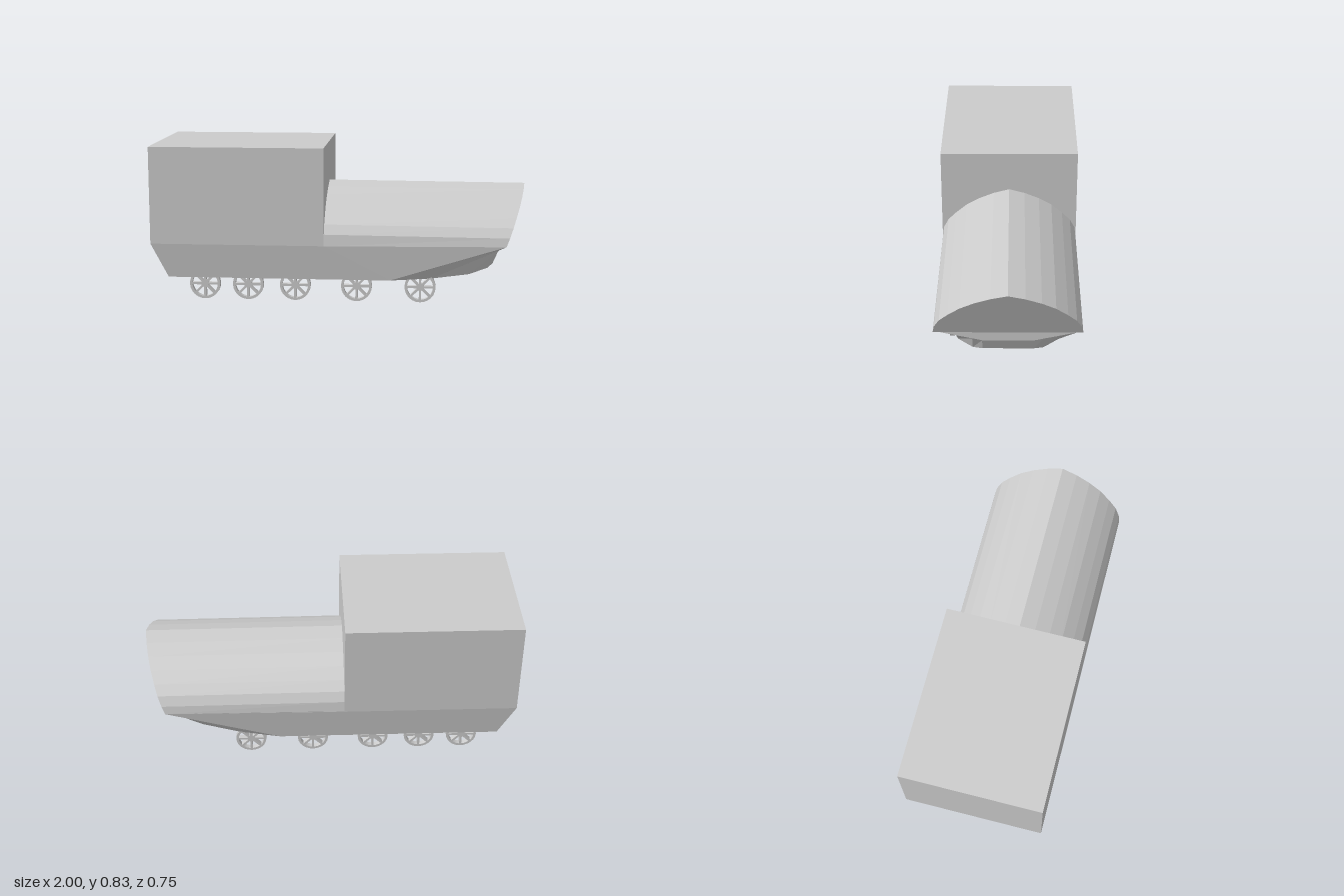
import * as THREE from 'three';

const material = new THREE.MeshStandardMaterial({ color: 0xcccccc, flatShading: true });

// Collects polygons (corners counter-clockwise from outside) into one flat-shaded mesh
function faceBuilder() {
  const pos = [];
  const face = (...p) => {
    for (let i = 1; i < p.length - 1; i++) pos.push(...p[0], ...p[i], ...p[i + 1]);
  };
  const mirror = ([x, y, z]) => [x, y, -z];
  return {
    face,
    // the same face on both sides
    both(...p) {
      face(...p);
      face(...p.map(mirror).reverse());
    },
    // bands running across the body between mirrored pairs of points
    across(path) {
      for (let i = 0; i < path.length - 1; i++) {
        face(path[i], mirror(path[i]), mirror(path[i + 1]), path[i + 1]);
      }
    },
    mesh(name) {
      const g = new THREE.BufferGeometry();
      g.setAttribute('position', new THREE.Float32BufferAttribute(pos, 3));
      g.computeVertexNormals();
      const m = new THREE.Mesh(g, material);
      m.name = name;
      return m;
    },
  };
}

// Tapered lower hull with a scooped nose
function makeHull() {
  const b = faceBuilder();
  const rearTop = [-1, 0.31, 0.375];
  const rearLow = [-0.91, 0.125, 0.35];
  const bend = [0.28, 0.125, 0.35];
  const tip = [0.89, 0.32, 0.375];
  const low = [[0.5, 0.131, 0.31], [0.7, 0.147, 0.26], [0.8, 0.166, 0.18], [0.83, 0.18, 0.13]];
  const high = [[0.86, 0.3, 0.345], [0.86, 0.28, 0.26], [0.86, 0.262, 0.18], [0.86, 0.25, 0.13]];

  // back, belly, nose panel and lip
  b.across([rearTop, rearLow, bend, ...low, ...[...high].reverse(), tip]);
  // flanks
  b.both([-0.07, 0.31, 0.375], rearTop, rearLow, bend, tip);
  // curved nose walls
  b.both(bend, low[0], high[0]);
  b.both(bend, high[0], tip);
  for (let i = 0; i < 3; i++) b.both(low[i], low[i + 1], high[i + 1], high[i]);
  return b.mesh('hull');
}

// Pointed-arch hood with a raked front
function makeHood() {
  const b = faceBuilder();
  const half = [[0.375, 0.32], [0.367, 0.365], [0.34, 0.415], [0.295, 0.46],
    [0.235, 0.51], [0.165, 0.55], [0.085, 0.583], [0, 0.606]];
  const arch = [...half, ...half.slice(0, -1).reverse().map(([z, y]) => [-z, y])];
  const front = arch.map(([z, y]) => [0.89 + 0.11 * (y - 0.32) / 0.286, y, z]);
  const back = arch.map(([z, y]) => [-0.07, y < 0.33 ? 0.31 : y + 0.006, z]);
  for (let i = 0; i < arch.length - 1; i++) {
    b.face(back[i], front[i], front[i + 1], back[i + 1]);
  }
  b.face(...[...front].reverse());
  return b.mesh('hood');
}

// Spoked wheel: a disc with wedge openings between eight spokes
function makeWheelGeometry() {
  const radius = 0.083, inner = 0.069, hub = 0.021, spoke = 0.006, width = 0.026, count = 8;
  const shape = new THREE.Shape().absarc(0, 0, radius, 0, Math.PI * 2);
  for (let i = 0; i < count; i++) {
    const a0 = (i / count) * Math.PI * 2;
    const a1 = ((i + 1) / count) * Math.PI * 2;
    const dOut = Math.asin(spoke / inner), dIn = Math.asin(spoke / hub);
    const hole = new THREE.Path();
    hole.absarc(0, 0, inner, a0 + dOut, a1 - dOut, false);
    hole.absarc(0, 0, hub, a1 - dIn, a0 + dIn, true);
    hole.closePath();
    shape.holes.push(hole);
  }
  const g = new THREE.ExtrudeGeometry(shape, { depth: width, bevelEnabled: false, curveSegments: 12 });
  return g.translate(0, 0, -width / 2);
}

export function createModel() {
  const model = new THREE.Group();
  model.name = 'armouredCarrier';

  // Tall rear box
  const cab = new THREE.Mesh(new THREE.BoxGeometry(0.93, 0.52, 0.75), material);
  cab.name = 'rearCabin';
  cab.position.set(-0.535, 0.57, 0);
  model.add(cab, makeHull(), makeHood());

  // Five wheels on each side
  const wheels = new THREE.Group();
  wheels.name = 'wheels';
  const wheelGeometry = makeWheelGeometry();
  [-0.72, -0.485, -0.23, 0.1, 0.44].forEach((x, i) => {
    for (const side of [1, -1]) {
      const wheel = new THREE.Mesh(wheelGeometry, material);
      wheel.name = `wheel${side > 0 ? 'Front' : 'Back'}Side${i + 1}`;
      wheel.position.set(x, 0.083, side * 0.301);
      wheels.add(wheel);
    }
  });
  model.add(wheels);
  return model;
}
